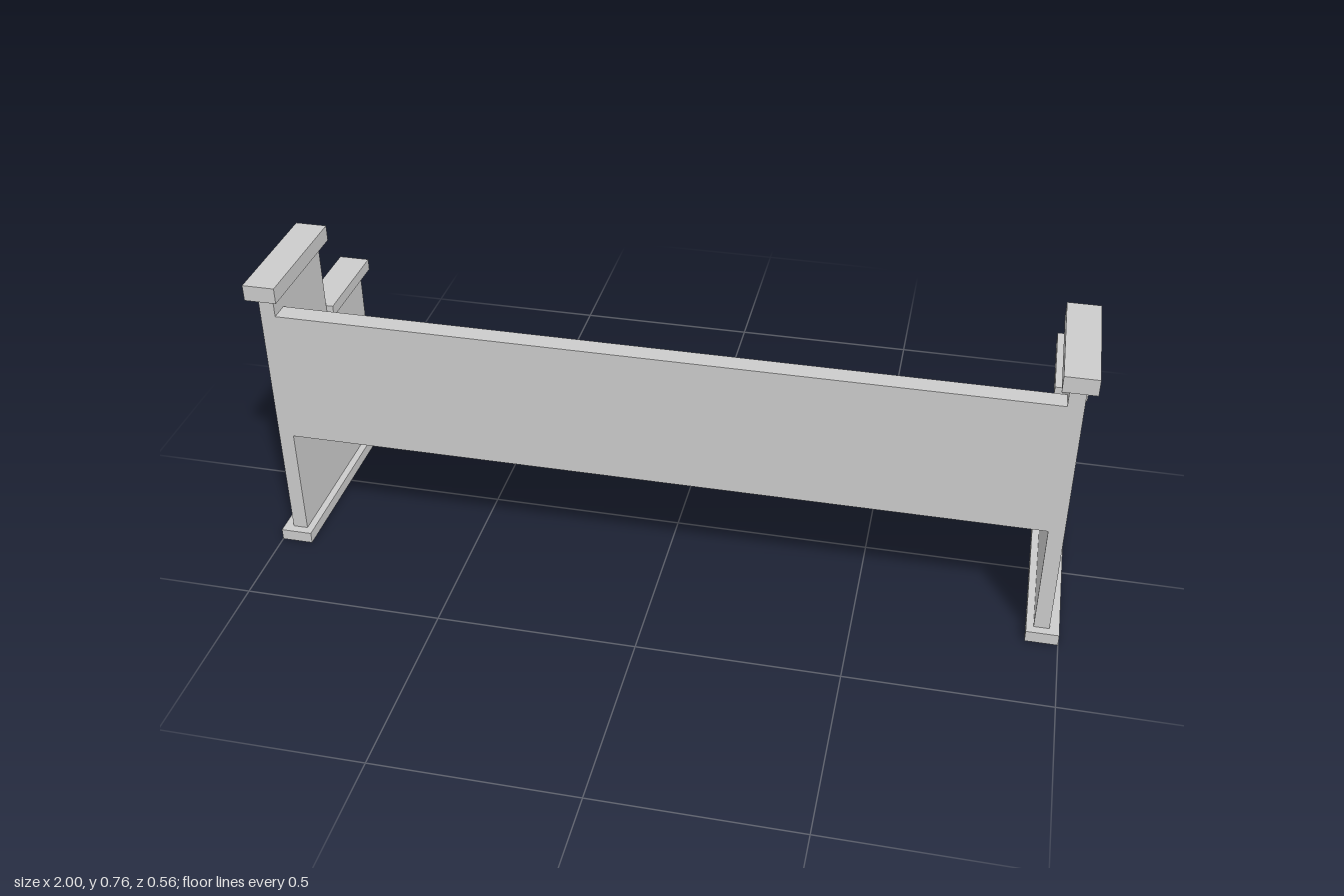
import * as THREE from 'three';

const material = new THREE.MeshStandardMaterial({ color: 0xcccccc, flatShading: true });

// Box given by its extents on each axis
function box(name, [x0, x1], [y0, y1], [z0, z1]) {
  const mesh = new THREE.Mesh(new THREE.BoxGeometry(x1 - x0, y1 - y0, z1 - z0), material);
  mesh.position.set((x0 + x1) / 2, (y0 + y1) / 2, (z0 + z1) / 2);
  mesh.name = name;
  return mesh;
}

// Extrudes a (z, y) outline along x, centred on x
function profile(name, points, width, x) {
  const shape = new THREE.Shape(points.map(([z, y]) => new THREE.Vector2(-z, y)));
  const geometry = new THREE.ExtrudeGeometry(shape, { depth: width, bevelEnabled: false });
  geometry.translate(0, 0, -width / 2).rotateY(Math.PI / 2);
  const mesh = new THREE.Mesh(geometry, material);
  mesh.position.x = x;
  mesh.name = name;
  return mesh;
}

// Stepped end panel with foot, armrest and top cap
function benchEnd(name, x) {
  const end = new THREE.Group();
  end.name = name;
  const capX = [x - 0.04, x + 0.04];
  end.add(
    profile('endPanel', [
      [0.26, 0.03], [-0.26, 0.03], [-0.26, 0.51],
      [-0.025, 0.51], [-0.025, 0.722], [0.26, 0.722],
    ], 0.038, x - Math.sign(x) * 0.003),
    box('foot', capX, [0, 0.03], [-0.282, 0.282]),
    box('armrest', capX, [0.51, 0.54], [-0.282, -0.025]),
    box('topCap', capX, [0.722, 0.763], [-0.047, 0.282]),
  );
  return end;
}

export function createModel() {
  const model = new THREE.Group();
  model.name = 'bench';

  // Seat and upright back share one L-shaped section
  model.add(profile('seatAndBack', [
    [0.26, 0.322], [-0.26, 0.322], [-0.26, 0.352],
    [0.21, 0.352], [0.21, 0.672], [0.26, 0.672],
  ], 1.876, 0));

  model.add(benchEnd('leftEnd', 0.96), benchEnd('rightEnd', -0.96));
  return model;
}
